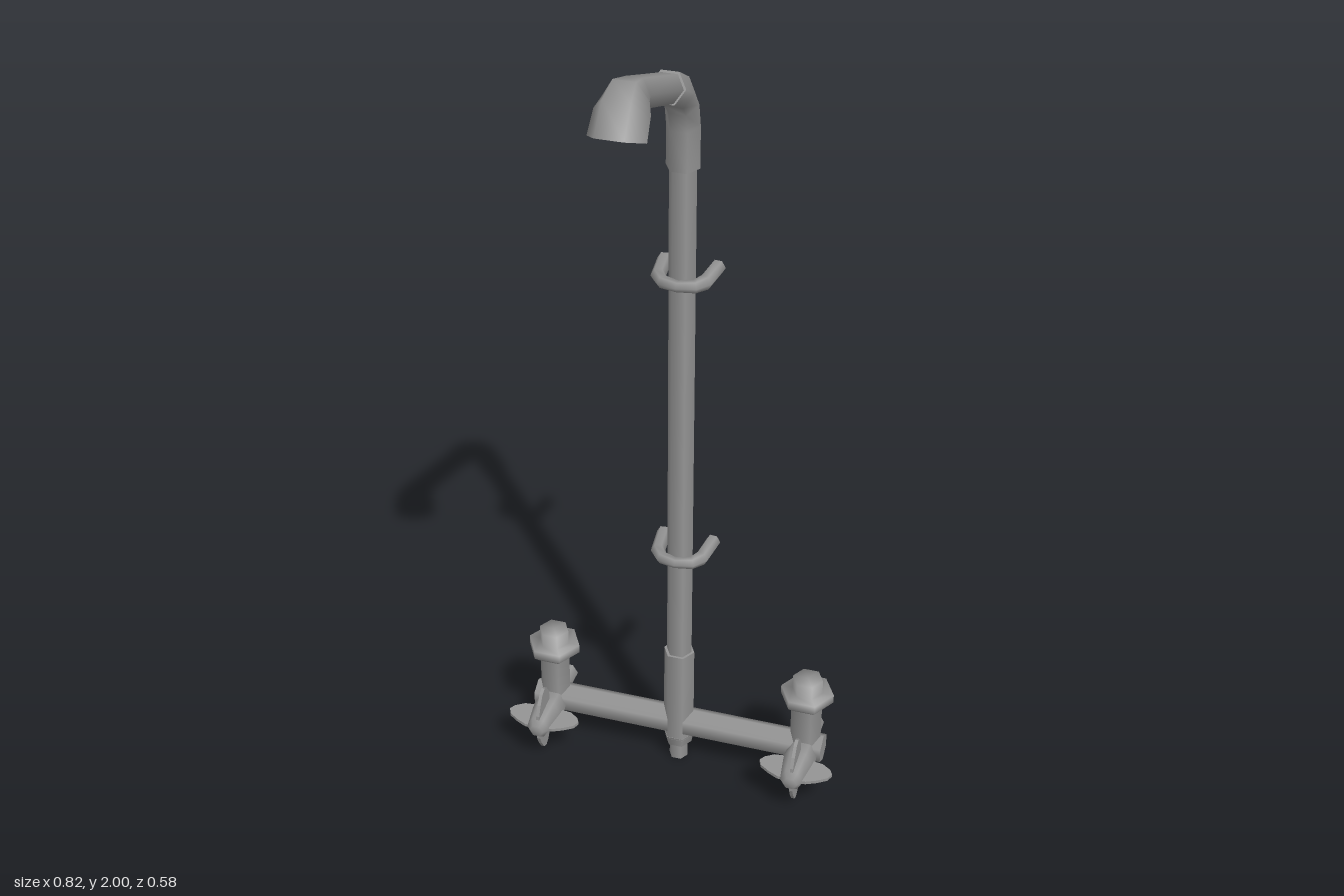
import * as THREE from 'three';
import { toCreasedNormals } from 'three/addons/utils/BufferGeometryUtils.js';

const SIDES = 6;
const POLE_Z = -0.198, PIPE_Y = 0.112, VALVE_X = 0.322;

export function createModel() {
  const material = new THREE.MeshStandardMaterial({ color: 0x949494 });
  const model = new THREE.Group();

  function add(parent, name, geometry, x = 0, y = 0, z = 0) {
    const mesh = new THREE.Mesh(geometry, material);
    mesh.name = name;
    mesh.position.set(x, y, z);
    parent.add(mesh);
    return mesh;
  }

  // Upright hexagonal cylinder between two heights, corners on the x axis
  function post(name, y0, y1, rBottom, rTop = rBottom) {
    const g = new THREE.CylinderGeometry(rTop, rBottom, y1 - y0, SIDES, 1, false, Math.PI / 2);
    return add(model, name, g, 0, (y0 + y1) / 2, POLE_Z);
  }

  // Six-sided turned part with softly shaded steps, profile given as [radius, height]
  function turned(profile) {
    return new THREE.LatheGeometry(profile.map(([r, y]) => new THREE.Vector2(r, y)),
      SIDES, Math.PI / 2);
  }

  // Capped tube of varying radius along a path lying in the plane with the given normal
  function sweep(points, radii, normal, phase = 0, endTangent = null) {
    const pos = [], index = [], last = points.length - 1;
    points.forEach((p, i) => {
      const t = new THREE.Vector3();
      if (i > 0) t.add(p.clone().sub(points[i - 1]).normalize());
      if (i < last) t.add(points[i + 1].clone().sub(p).normalize());
      if (i === last && endTangent) t.copy(endTangent);
      const b = t.normalize().clone().cross(normal);
      for (let j = 0; j < SIDES; j++) {
        const a = phase + (j / SIDES) * Math.PI * 2;
        const v = p.clone().addScaledVector(normal, radii[i] * Math.cos(a))
          .addScaledVector(b, radii[i] * Math.sin(a));
        pos.push(v.x, v.y, v.z);
      }
    });
    const c0 = pos.length / 3, c1 = c0 + 1;
    pos.push(...points[0].toArray(), ...points[last].toArray());
    for (let j = 0; j < SIDES; j++) {
      const k = (j + 1) % SIDES;
      for (let i = 0; i < last; i++) {
        const a = i * SIDES + j, b = i * SIDES + k;
        index.push(a, b, a + SIDES, b, b + SIDES, a + SIDES);
      }
      index.push(c0, k, j, c1, last * SIDES + j, last * SIDES + k);
    }
    const g = new THREE.BufferGeometry();
    g.setAttribute('position', new THREE.Float32BufferAttribute(pos, 3));
    g.setIndex(index);
    return toCreasedNormals(g, 1.2);
  }

  // Riser pole, its lower sleeve and the drain stub
  post('riserPole', 0.3, 1.66, 0.031);
  post('lowerSleeve', 0.07, 0.332, 0.038);
  post('sleeveCollar', 0.048, 0.076, 0.033, 0.039);
  post('drainStub', 0, 0.05, 0.023);

  // Horizontal mixer pipe
  const pipe = new THREE.CylinderGeometry(0.037, 0.037, 0.736, SIDES, 1, false, Math.PI / 2);
  pipe.rotateZ(Math.PI / 2);
  add(model, 'mixerPipe', pipe, 0, PIPE_Y, POLE_Z);

  // Elbow, arm and shower head
  const xAxis = new THREE.Vector3(1, 0, 0), yAxis = new THREE.Vector3(0, 1, 0);
  const side = list => list.map(([z, y]) => new THREE.Vector3(0, y, z));
  add(model, 'elbow', sweep(
    side([[POLE_Z, 1.633], [POLE_Z, 1.73], [-0.185, 1.785], [-0.15, 1.825], [-0.085, 1.862]]),
    [0.038, 0.038, 0.038, 0.039, 0.039], xAxis));
  add(model, 'armAndHead', sweep(
    side([[-0.11, 1.851], [0.14, 1.95], [0.185, 1.959], [0.209, 1.942], [0.243, 1.9]]),
    [0.034, 0.035, 0.047, 0.057, 0.06], xAxis, 0, new THREE.Vector3(0, -0.92, 0.39)));

  // Forked hooks clipped around the pole
  const fork = [[-0.061, -0.27], [-0.053, -0.195], [-0.036, -0.17], [0, -0.16],
    [0.036, -0.17], [0.053, -0.195], [0.061, -0.27]];
  const forkGeometry = sweep(fork.map(([x, z]) => new THREE.Vector3(x, 0, z)),
    [0.0175, 0.0175, 0.015, 0.013, 0.015, 0.0175, 0.0175], yAxis, Math.PI / 6);
  for (const y of [0.622, 1.364]) add(model, 'poleHook', forkGeometry, 0, y, 0);

  // Valve body, nut and cap; wall inlet; handle hub
  const column = turned([[0.038, 0.085], [0.038, 0.25], [0.052, 0.25], [0.065, 0.262],
    [0.065, 0.284], [0.037, 0.284], [0.037, 0.321], [0, 0.321]]);
  const inlet = new THREE.CylinderGeometry(0.025, 0.025, 0.103, SIDES, 1, false, Math.PI / 2);
  inlet.rotateX(Math.PI / 2);
  const hub = turned([[0.033, -0.2], [0.04, -0.145], [0.038, -0.125], [0.029, -0.063],
    [0.017, -0.049], [0, -0.049]]);
  hub.rotateX(Math.PI / 2);

  // Leaf-shaped handle wing, root on the hub axis
  const leaf = new THREE.Shape([[0, -0.035], [0.06, -0.028], [0.082, -0.013], [0.09, 0.001],
    [0.083, 0.018], [0.06, 0.034], [0.035, 0.046], [0, 0.048]]
    .map(([x, y]) => new THREE.Vector2(x, y)));
  const wing = new THREE.ExtrudeGeometry(leaf, { depth: 0.008, bevelEnabled: false });
  wing.translate(0, 0, -0.004);
  wing.rotateX(Math.PI / 2);

  // Valves at both ends of the pipe
  for (const s of [-1, 1]) {
    const valve = new THREE.Group();
    valve.name = s > 0 ? 'leftValve' : 'rightValve';
    valve.position.x = s * VALVE_X;
    model.add(valve);

    add(valve, 'valveColumn', column, 0, 0, POLE_Z);
    add(valve, 'wallInlet', inlet, 0, PIPE_Y, -0.2415);
    add(valve, 'handleHub', hub, 0, PIPE_Y, 0);
    for (let i = 0; i < 4; i++) {
      add(valve, 'handleWing', wing, 0, PIPE_Y, -0.109).rotation.z = i * Math.PI / 2;
    }
  }
  return model;
}
